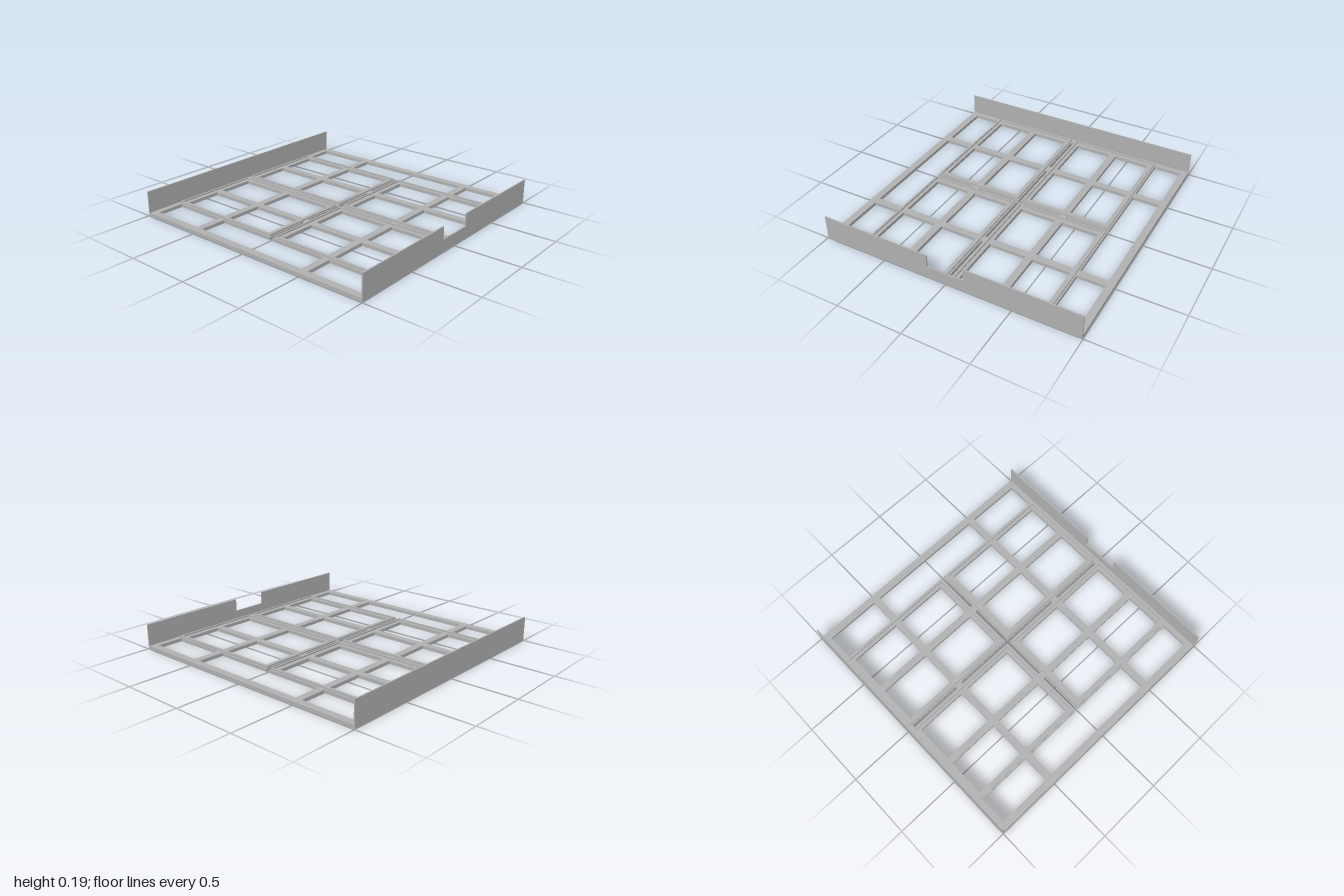
import * as THREE from 'three';

const FLOOR = 0.025;   // thickness of the base lattice
const RIM_TOP = 0.036; // top of the raised tray rims
const WALL_TOP = 0.19;

export function createModel() {
  const model = new THREE.Group();
  model.name = 'trayFrame';
  const grey = new THREE.MeshStandardMaterial({ color: 0xb0b0b0 });
  grey.name = 'plain grey';

  const add = (name, geometry) => {
    const mesh = new THREE.Mesh(geometry, grey);
    mesh.name = name;
    model.add(mesh);
  };

  const box = (name, x0, x1, y0, y1, z0, z1) => {
    const g = new THREE.BoxGeometry(x1 - x0, y1 - y0, z1 - z0);
    g.translate((x0 + x1) / 2, (y0 + y1) / 2, (z0 + z1) / 2);
    add(name, g);
  };

  // flat rectangular ring lying in the floor plane
  const ring = (name, cx, cz, outerX, outerZ, innerX, innerZ, y0, y1) => {
    const rect = (path, a, b) => path.moveTo(-a, -b).lineTo(a, -b).lineTo(a, b).lineTo(-a, b).closePath();
    const shape = new THREE.Shape();
    rect(shape, outerX, outerZ);
    const hole = new THREE.Path();
    rect(hole, innerX, innerZ);
    shape.holes.push(hole);
    const g = new THREE.ExtrudeGeometry(shape, { depth: y1 - y0, bevelEnabled: false });
    g.rotateX(-Math.PI / 2);
    g.translate(cx, y0, cz);
    add(name, g);
  };

  // outer frame and the lattice bars
  ring('outerFrame', 0, 0, 0.996, 1, 0.942, 0.948, 0, FLOOR);
  for (const s of [-1, 1]) {
    box('crossBar', -0.942, 0.942, 0, FLOOR, s * 0.499 - 0.027, s * 0.499 + 0.027);
    box('lengthBar', s * 0.372 - 0.027, s * 0.372 + 0.027, 0, FLOOR, -0.948, 0.948);
  }

  // four tray seats, each a flat ring with a thin raised rim
  for (const sx of [-1, 1]) {
    for (const sz of [-1, 1]) {
      const cx = sx * 0.372, cz = sz * 0.498;
      ring('traySeat', cx, cz, 0.362, 0.485, 0.311, 0.43, 0, FLOOR);
      ring('trayRim', cx, cz, 0.35, 0.477, 0.337, 0.464, FLOOR, RIM_TOP);
    }
  }

  // back wall
  box('backWall', -0.996, 0.996, 0, WALL_TOP, -1, -0.99);

  // front wall with a central notch
  const front = new THREE.Shape();
  [[-0.996, 0], [0.996, 0], [0.996, WALL_TOP], [0.141, WALL_TOP], [0.141, 0.093],
    [-0.141, 0.093], [-0.141, WALL_TOP], [-0.996, WALL_TOP]]
    .forEach(([x, y], i) => (i ? front.lineTo(x, y) : front.moveTo(x, y)));
  const frontWall = new THREE.ExtrudeGeometry(front, { depth: 0.01, bevelEnabled: false });
  frontWall.translate(0, 0, 0.99);
  add('frontWall', frontWall);

  return model;
}
